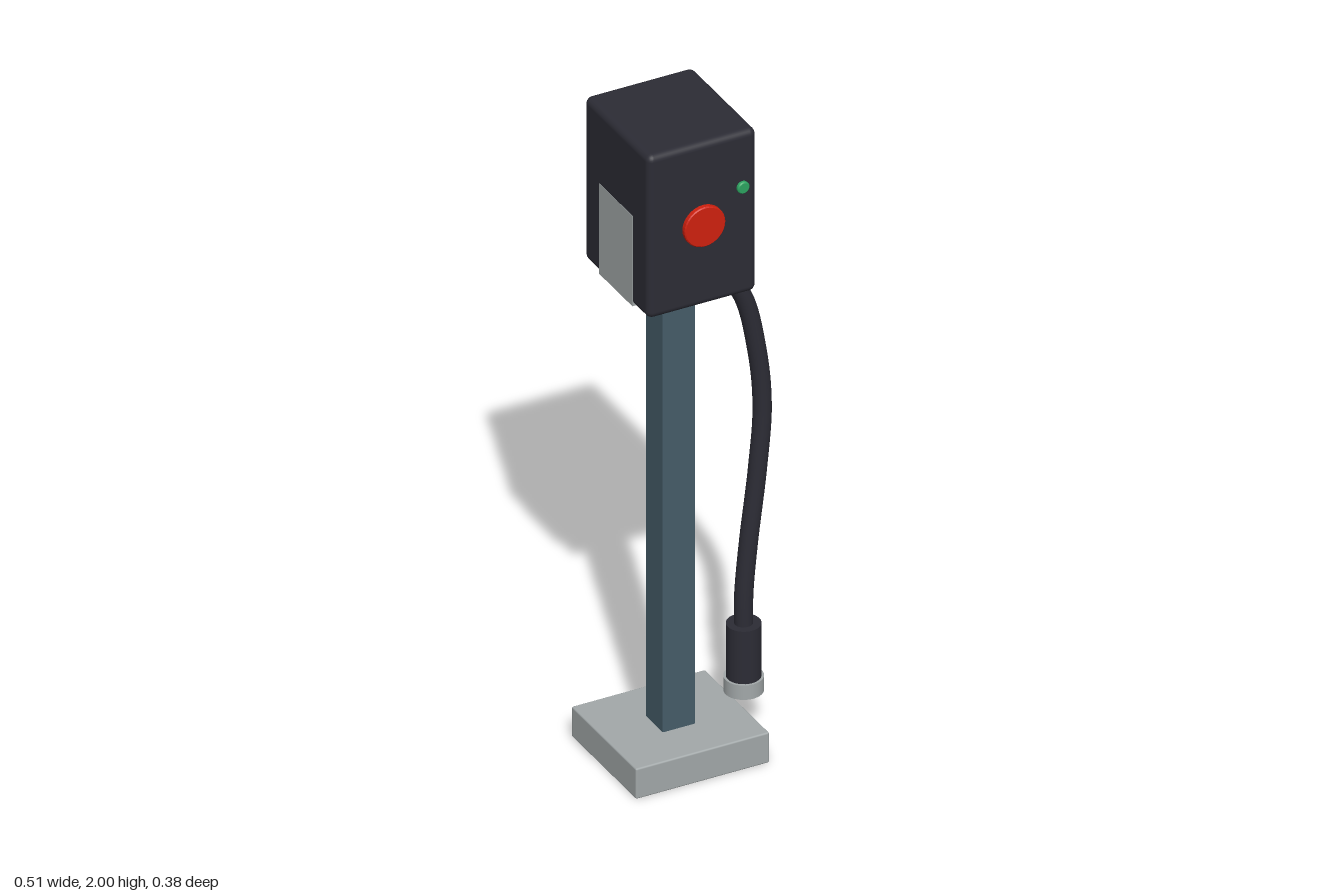
import * as THREE from 'three';
import { RoundedBoxGeometry } from 'three/addons/geometries/RoundedBoxGeometry.js';

const mat = (name, color) => {
  const m = new THREE.MeshStandardMaterial({ color });
  m.name = name;
  return m;
};

export function createModel() {
  const group = new THREE.Group();
  const dark = mat('charcoal', 0x2c2c35);
  const steel = mat('blue steel', 0x455c68);
  const grey = mat('light grey', 0xa2a8a9);
  const red = mat('button red', 0xcf200e);
  const green = mat('lamp green', 0x2ca360);

  const CX = -0.052, CZ = -0.008; // axis of the post

  const add = (name, geometry, material, x, y, z) => {
    const mesh = new THREE.Mesh(geometry, material);
    mesh.name = name;
    mesh.position.set(x, y, z);
    group.add(mesh);
    return mesh;
  };
  const box = (name, w, h, d, r, material, y) =>
    add(name, new RoundedBoxGeometry(w, h, d, 3, r), material, CX, y, CZ);

  // Foot, post and housing
  box('basePlate', 0.405, 0.095, 0.368, 0.005, grey, 0.0475);
  box('post', 0.1, 1.43, 0.1, 0.004, steel, 0.8);
  box('housing', 0.33, 0.51, 0.368, 0.02, dark, 1.745);

  // Saddle bracket flush with both sides and the underside of the housing
  add('bracket', new THREE.BoxGeometry(0.332, 0.283, 0.19), grey, CX, 1.63, CZ);

  // Front controls
  const knob = (name, r, depth, material, x, y) => {
    const profile = [[0, -0.01], [r, -0.01], [r, depth - 0.003], [r - 0.003, depth], [0, depth]];
    const geo = new THREE.LatheGeometry(profile.map(([a, b]) => new THREE.Vector2(a, b)), 32);
    geo.rotateX(Math.PI / 2);
    const flat = geo.toNonIndexed();
    flat.computeVertexNormals();
    add(name, flat, material, x, y, 0.176);
  };
  knob('pushButton', 0.062, 0.015, red, CX, 1.745);
  knob('statusLamp', 0.018, 0.01, green, 0.068, 1.83);

  // Hanging cable
  const path = new THREE.CatmullRomCurve3([
    [0.0, 1.54], [0.075, 1.485], [0.163, 1.37], [0.21, 1.18], [0.226, 1.0],
    [0.212, 0.81], [0.184, 0.58], [0.17, 0.42], [0.17, 0.3],
  ].map(([x, y]) => new THREE.Vector3(x, y, CZ)));
  add('cable', new THREE.TubeGeometry(path, 64, 0.026, 16), dark, 0, 0, 0);

  // Plug with end collar
  add('plug', new THREE.CylinderGeometry(0.048, 0.048, 0.17, 32), dark, 0.17, 0.25, CZ);
  add('plugCollar', new THREE.CylinderGeometry(0.055, 0.055, 0.045, 32), grey, 0.17, 0.148, CZ);

  return group;
}
